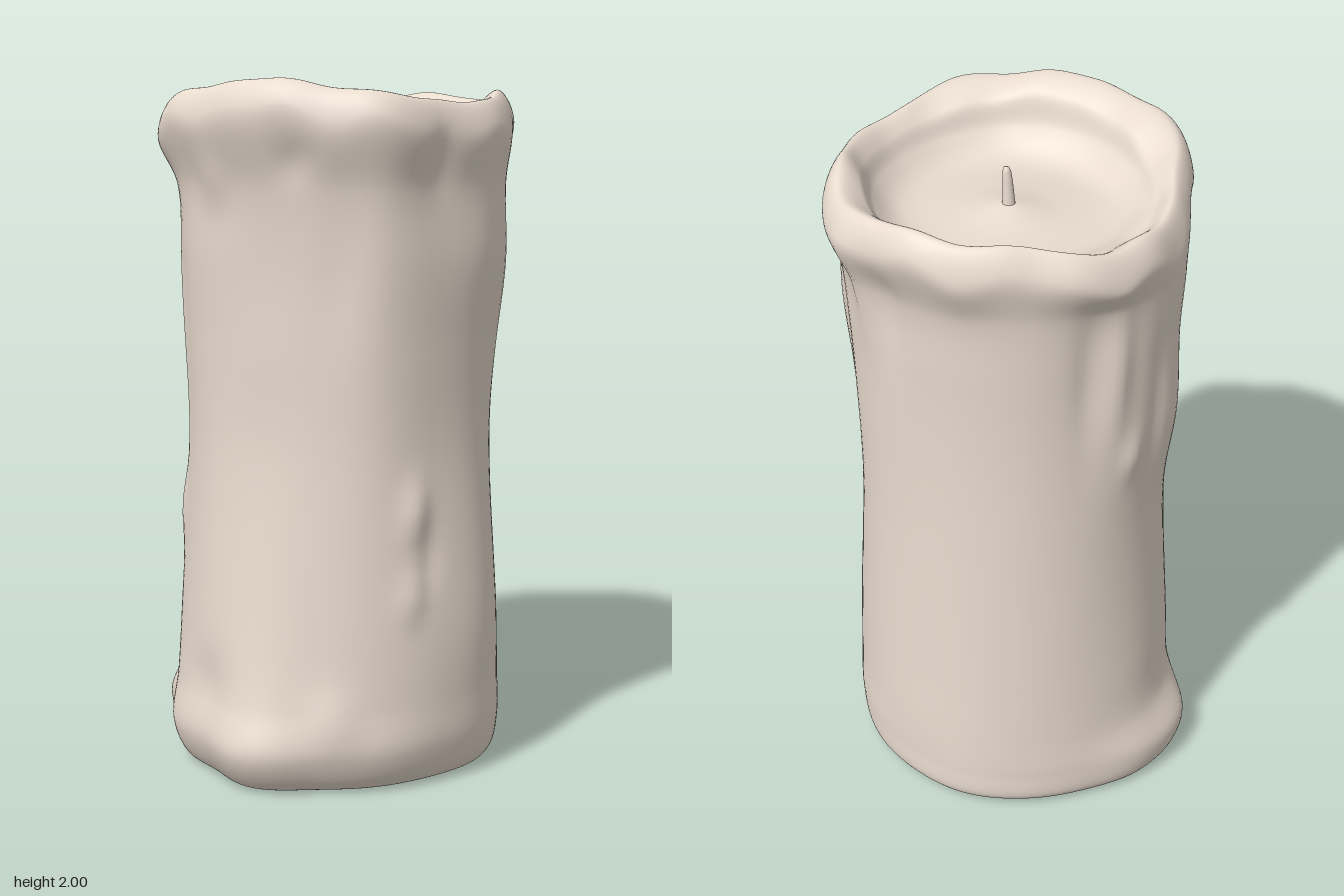
import * as THREE from 'three';

const SIDES = 144, SEGMENTS = 16, STEPS = SEGMENTS * 11;
const TAU = Math.PI * 2;

// Radii at 16 compass directions, running from +x through +z, -x and -z
const RINGS = [
  { y: 0.12, r: [.515, .495, .495, .50, .54, .48, .475, .46, .53, .525, .493, .49, .50, .50, .51, .515] },
  { y: 0.25, r: [.517, .497, .485, .482, .502, .463, .455, .445, .468, .485, .483, .487, .497, .50, .505, .512] },
  { y: 0.45, r: [.52, .495, .475, .46, .465, .45, .437, .435, .452, .468, .473, .48, .487, .49, .498, .505] },
  { y: 0.95, r: [.485, .462, .455, .425, .405, .41, .407, .405, .43, .442, .453, .463, .468, .47, .482, .48] },
  { y: 1.25, r: [.495, .475, .465, .425, .405, .41, .413, .395, .463, .462, .448, .457, .464, .468, .486, .49] },
  { y: 1.50, r: [.52, .495, .485, .432, .41, .42, .427, .40, .46, .468, .45, .46, .47, .475, .495, .505] },
  { y: 1.70, r: [.515, .495, .505, .45, .43, .43, .443, .415, .47, .475, .468, .468, .483, .488, .512, .515] },
];
const LIP = [.53, .517, .555, .502, .487, .488, .50, .455, .465, .49, .515, .493, .53, .545, .565, .535];
const CREST_Y = [1.93, 1.94, 1.955, 1.985, 1.995, 1.975, 1.94, 1.90, 1.88, 1.875, 1.89, 1.92, 1.935, 1.94, 1.925, 1.96];

// Wax runs and dents: [angle in degrees, height, angular width, height spread, amount]
const DRIPS = [
  [-12, 1.45, 6, .28, .015], [-27, 1.45, 5, .3, -.024], [-52, 1.7, 5, .16, .016],
  [-64, 1.68, 6, .2, -.012], [32, .8, 5, .07, .022],
  [34, .56, 5, .06, .014], [26, .66, 4, .08, -.01], [58, 1.5, 8, .2, -.012],
  [146, 1.35, 5, .3, .018], [150, .75, 5, .1, .014], [215, 1.5, 4, .2, .018],
  [208, 1.2, 4, .07, .016], [226, 1.5, 5, .22, -.012], [196, 1.3, 4, .25, -.012],
  [110, 1.72, 7, .07, .012], [75, 1.78, 7, .06, -.012], [62, .22, 9, .08, .014],
  [112, .28, 12, .08, -.01], [25, 1.8, 6, .1, -.012],
];

// Smooth closed interpolation around the compass
function around(list, angle) {
  const n = list.length, f = angle / TAU * n, i = Math.floor(f), t = f - i;
  const [a, b, c, d] = [-1, 0, 1, 2].map(k => list[(i + k + n) % n]);
  return b + 0.5 * t * (c - a + t * (2 * a - 5 * b + 4 * c - d + t * (3 * (b - c) + d - a)));
}

function dripOffset(angle, y) {
  let sum = 0;
  for (const [deg, h, w, s, amount] of DRIPS) {
    let d = angle * 360 / TAU - deg;
    d -= 360 * Math.round(d / 360);
    sum += amount * Math.exp(-((d / w) ** 2) - ((y - h) / s) ** 2);
  }
  return sum;
}

// One vertical section: underside, wall, curled lip, inside wall and shallow wax bowl
function section(angle) {
  const c = Math.cos(angle), s = Math.sin(angle);
  const outer = (r, y) => new THREE.Vector3(r * c, y, r * s);
  const inner = (r, y) => new THREE.Vector3(0.03 + r * c, y, -0.04 + r * s);
  const foot = around(RINGS[0].r, angle) * (0.955 - 0.035 * s);
  const ripple = Math.sin(angle * 9 + 1) * 0.004 + Math.sin(angle * 14 + 2) * 0.003;
  const top = Math.min(2, around(CREST_Y, angle) + ripple);
  const lip = around(LIP, angle);
  return new THREE.CatmullRomCurve3([
    outer(0, 0.003), outer(foot * 0.94, 0.006), outer(foot, 0.028),
    ...RINGS.map(k => outer(around(k.r, angle), k.y)),
    outer(lip, top - 0.08 + ripple * 2), outer(lip - 0.045, top),
    inner(0.402, top - 0.035), inner(0.368, 1.805 + (top - 1.805) * 0.33),
    inner(0.3, 1.8), inner(0.15, 1.796), inner(0, 1.825),
  ]);
}

function waxGeometry() {
  const pos = [], index = [], p = new THREE.Vector3();
  for (let j = 0; j < SIDES; j++) {
    const angle = j / SIDES * TAU, curve = section(angle);
    for (let i = 0; i <= STEPS; i++) {
      curve.getPoint(i / STEPS, p);
      // drips apply to the outside wall only
      const t = i / STEPS * SEGMENTS;
      if (t > 2 && t < 11) {
        const d = dripOffset(angle, p.y) * Math.min(1, t - 2, 11 - t);
        p.x += d * Math.cos(angle);
        p.z += d * Math.sin(angle);
      }
      pos.push(p.x, Math.max(0, p.y), p.z);
      if (i < STEPS) {
        const a = j * (STEPS + 1) + i, b = ((j + 1) % SIDES) * (STEPS + 1) + i;
        index.push(a, a + 1, b, b, a + 1, b + 1);
      }
    }
  }
  const g = new THREE.BufferGeometry();
  g.setAttribute('position', new THREE.Float32BufferAttribute(pos, 3));
  g.setIndex(index);
  g.computeVertexNormals();
  return g;
}

// Short tapered wick with a slight lean
function wickGeometry() {
  const profile = [[.02, -.012], [.018, .008], [.016, .03], [.014, .07], [.012, .1], [.008, .112], [0, .115]];
  const g = new THREE.LatheGeometry(profile.map(q => new THREE.Vector2(...q)), 16);
  const a = g.attributes.position;
  for (let i = 0; i < a.count; i++) a.setX(i, a.getX(i) + a.getY(i) ** 2 * 0.5);
  g.computeVertexNormals();
  return g;
}

export function createModel() {
  const group = new THREE.Group();
  group.name = 'candle';
  const material = new THREE.MeshStandardMaterial({ color: 0xe8dbce });

  const wax = new THREE.Mesh(waxGeometry(), material);
  wax.name = 'waxBody';

  const wick = new THREE.Mesh(wickGeometry(), material);
  wick.name = 'wick';
  wick.position.set(0.03, 1.815, -0.04);

  group.add(wax, wick);
  return group;
}
